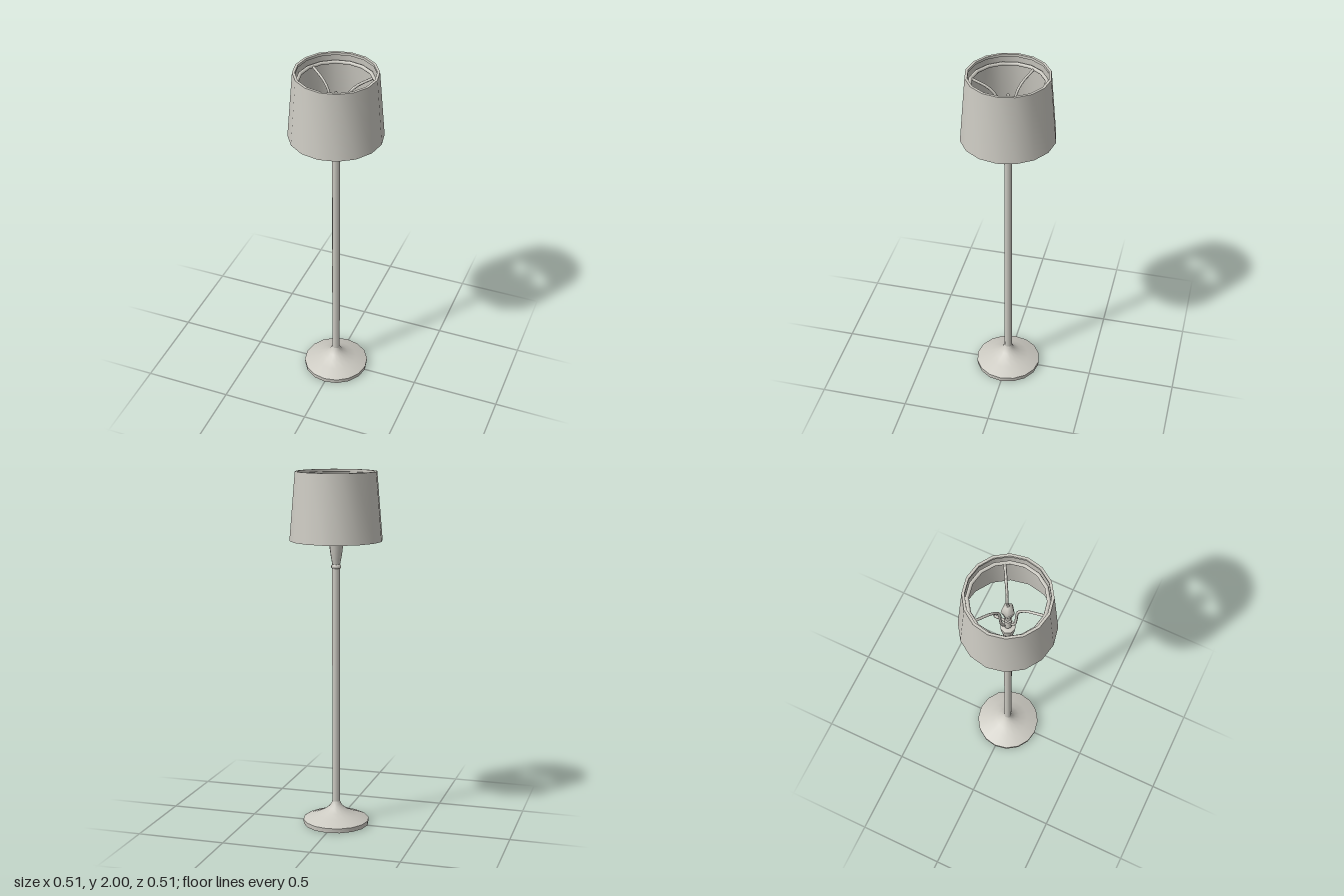
import * as THREE from 'three';
import { toCreasedNormals } from 'three/addons/utils/BufferGeometryUtils.js';

export function createModel() {
  const lamp = new THREE.Group();
  lamp.name = 'floorLamp';
  const ivory = new THREE.MeshStandardMaterial({ color: 0xcccac2 });
  ivory.name = 'paleGrey';

  const add = (name, geometry) => {
    const mesh = new THREE.Mesh(geometry, ivory);
    mesh.name = name;
    lamp.add(mesh);
    return mesh;
  };
  // Turned part from [radius, height] pairs
  const turn = (profile, sides) =>
    new THREE.LatheGeometry(profile.map(([r, y]) => new THREE.Vector2(r, y)), sides);

  // Foot: flat disc sweeping up in a concave curve to the pole
  add('base', toCreasedNormals(turn([
    [0, 0], [0.186, 0], [0.188, 0.026], [0.178, 0.031], [0.12, 0.052],
    [0.075, 0.073], [0.045, 0.094], [0.029, 0.113], [0.022, 0.13],
  ], 16), 0.6));

  add('pole', turn([[0.022, 0.12], [0.022, 1.475]], 10));

  // Collar and flared cup above the pole
  add('collar', turn([[0.02, 1.468], [0.029, 1.473], [0.029, 1.483], [0.022, 1.492]], 8));
  add('cup', turn([
    [0.022, 1.488], [0.025, 1.505], [0.032, 1.54], [0.037, 1.575], [0.041, 1.605],
  ], 8));
  add('cupLid', turn([[0.041, 1.605], [0.036, 1.612], [0, 1.612]], 8));

  // Socket with its turn switch at the back
  add('socket', toCreasedNormals(turn([
    [0.014, 1.61], [0.014, 1.622], [0.021, 1.625], [0.021, 1.7], [0, 1.7],
  ], 10), 0.7));
  const knob = add('switchKnob', new THREE.CylinderGeometry(0.008, 0.008, 0.06, 6));
  knob.rotation.x = -Math.PI / 2;
  knob.position.set(0, 1.665, -0.045);
  const tip = add('switchTip', new THREE.ConeGeometry(0.008, 0.012, 6));
  tip.rotation.x = -Math.PI / 2;
  tip.position.set(0, 1.665, -0.078);

  // Faceted bulb with a small tip
  add('bulb', turn([
    [0.014, 1.695], [0.016, 1.73], [0.028, 1.77], [0.037, 1.81], [0.03, 1.85], [0.008, 1.872], [0, 1.873],
  ], 5));
  add('bulbTip', turn([[0.008, 1.865], [0.008, 1.885], [0, 1.889]], 4));

  // Three bent arms from the socket to the shade ring
  const armCurve = new THREE.CatmullRomCurve3([
    [0.012, 1.645], [0.035, 1.67], [0.046, 1.75], [0.056, 1.85], [0.1, 1.905], [0.195, 1.95],
  ].map(([r, y]) => new THREE.Vector3(0, y, r)));
  const armGeometry = new THREE.TubeGeometry(armCurve, 18, 0.0075, 6);
  for (let i = 0; i < 3; i++) {
    add('shadeArm', armGeometry).rotation.y = (i * Math.PI * 2) / 3;
  }

  const ring = add('shadeRing', new THREE.TorusGeometry(0.2, 0.01, 8, 16));
  ring.rotation.x = Math.PI / 2;
  ring.position.y = 1.95;

  // Tapered shade: outer wall, top lip, inner wall, bottom rim
  add('shade', toCreasedNormals(turn([
    [0.257, 1.623], [0.225, 2], [0.211, 2], [0.211, 1.985], [0.218, 1.983], [0.25, 1.623], [0.257, 1.623],
  ], 16), 0.6));

  return lamp;
}
